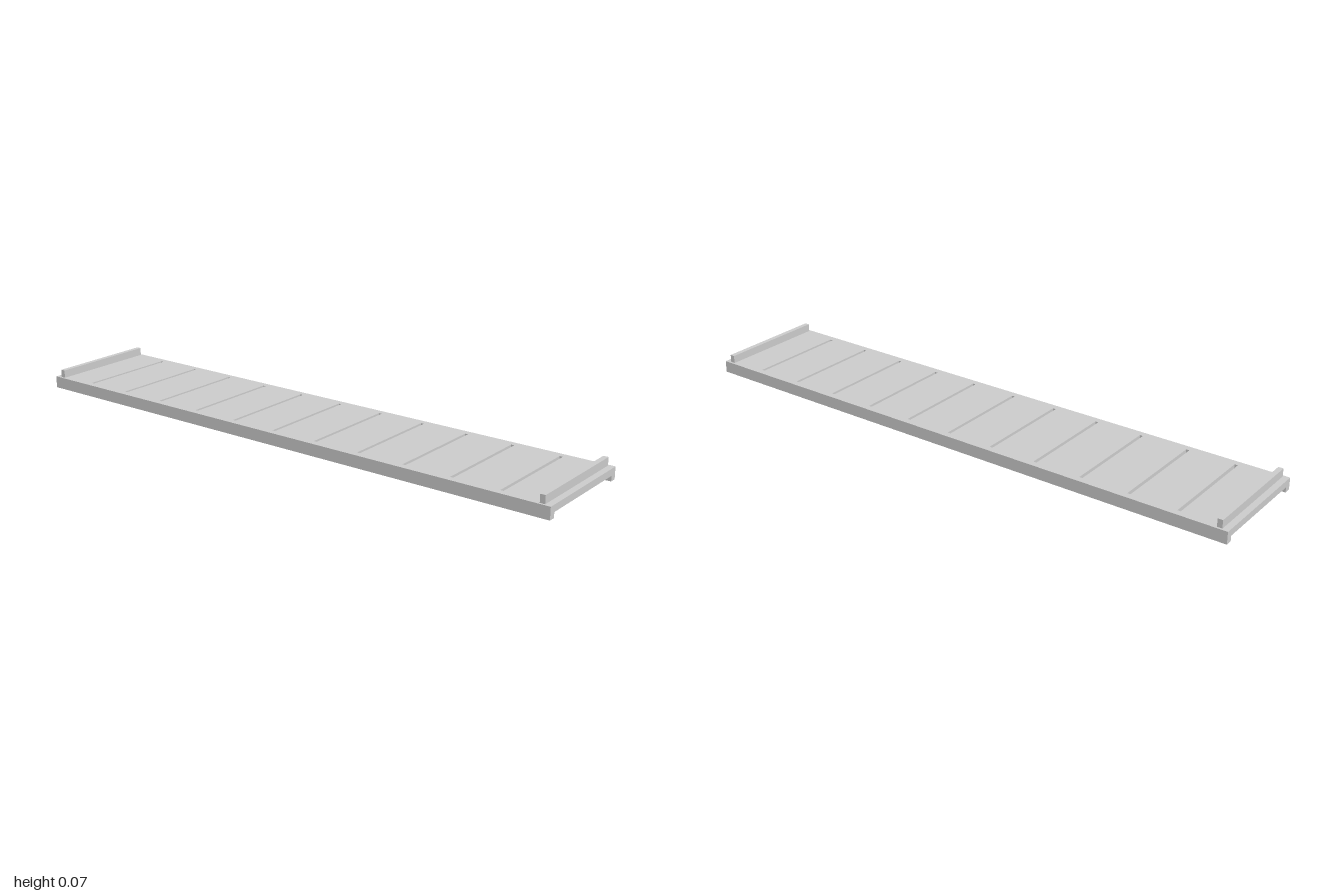
import * as THREE from 'three';

const material = new THREE.MeshStandardMaterial({ color: 0xcccccc, flatShading: true });

// Box given by its minimum and maximum corners
function box(name, [x0, y0, z0], [x1, y1, z1]) {
  const mesh = new THREE.Mesh(new THREE.BoxGeometry(x1 - x0, y1 - y0, z1 - z0), material);
  mesh.position.set((x0 + x1) / 2, (y0 + y1) / 2, (z0 + z1) / 2);
  mesh.name = name;
  return mesh;
}

export function createModel() {
  const group = new THREE.Group();
  group.name = 'slattedPlatform';

  const halfDepth = 0.199, inner = 0.176;
  const underside = 0.018, top = 0.041, lipTop = 0.068;

  // Long side rails
  group.add(box('frontRail', [-1, 0, inner], [1, top, halfDepth]));
  group.add(box('backRail', [-1, 0, -halfDepth], [1, top, -inner]));

  // Deck planks between the rails, separated by narrow slots
  const planks = 12, pitch = 2 / planks, gap = 0.011;
  for (let i = 0; i < planks; i++) {
    const x0 = -1 + i * pitch + (i > 0 ? gap / 2 : 0);
    const x1 = -1 + (i + 1) * pitch - (i < planks - 1 ? gap / 2 : 0);
    group.add(box(`plank${i + 1}`, [x0, underside, -inner], [x1, top, inner]));
  }

  // Raised lips across both ends
  group.add(box('rightLip', [-0.979, top, -0.192], [-0.962, lipTop, 0.192]));
  group.add(box('leftLip', [0.962, top, -0.192], [0.979, lipTop, 0.192]));

  return group;
}
